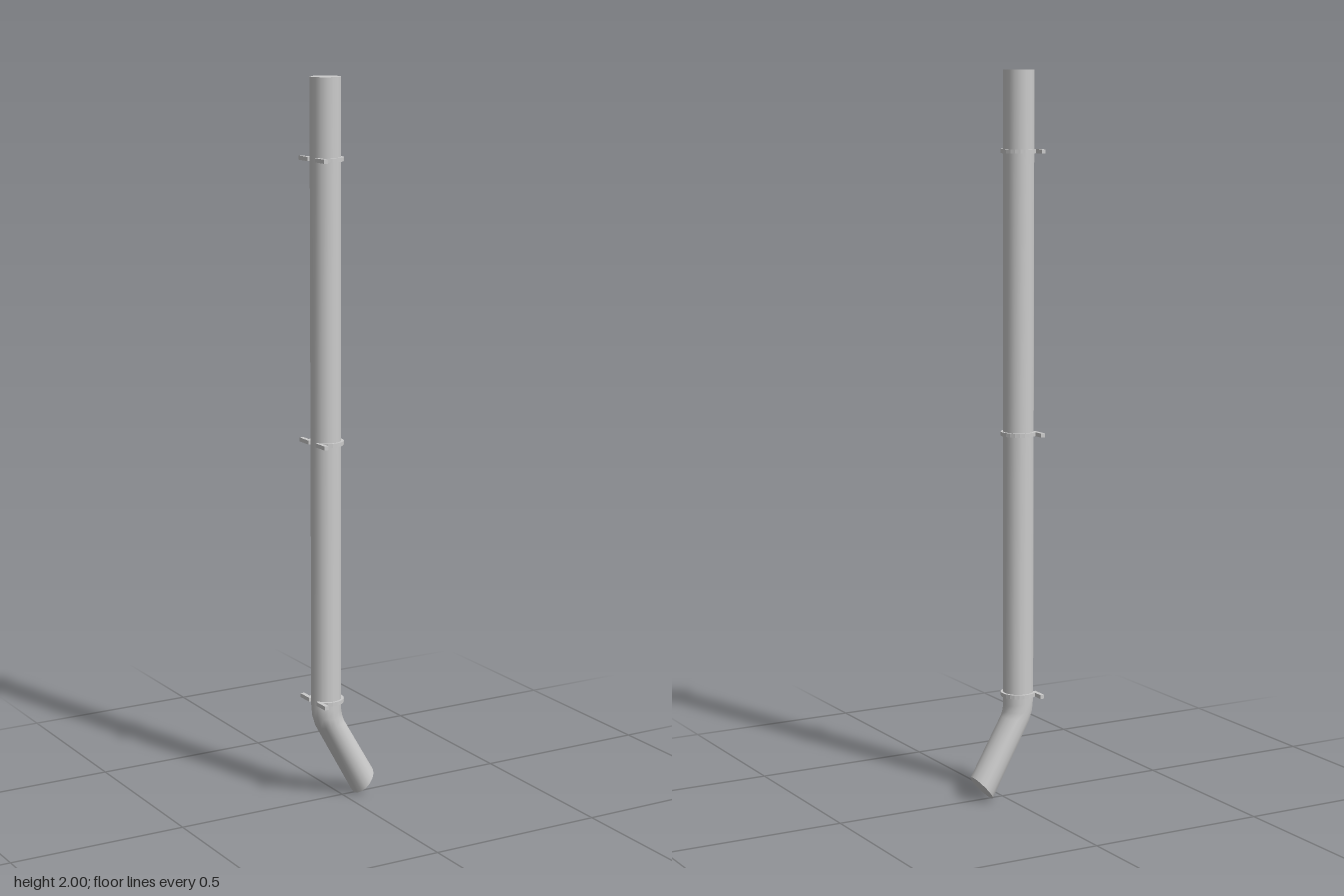
import * as THREE from 'three';

const SIDES = 16;
const RADIUS = 0.042;
const AXIS_X = -0.051;

// Pipe cross-sections from top to outlet: [leftX, leftY, rightX, rightY]
const SECTIONS = [
  [-0.093, 2, -0.009, 2],
  [-0.093, 0.275, -0.009, 0.258],
  [-0.09, 0.243, -0.006, 0.24],
  [-0.08, 0.212, -0.001, 0.226],
  [0.038, 0, 0.093, 0.066],
];

// Lofts elliptical rings through the sections and closes both ends
function pipeGeometry() {
  const pos = [], idx = [];
  const ring = ([lx, ly, rx, ry]) => {
    for (let i = 0; i < SIDES; i++) {
      const t = (i / SIDES) * Math.PI * 2, c = Math.cos(t);
      pos.push((lx + rx) / 2 + (c * (rx - lx)) / 2, (ly + ry) / 2 + (c * (ry - ly)) / 2, RADIUS * Math.sin(t));
    }
  };
  SECTIONS.forEach(ring);
  for (let s = 0; s < SECTIONS.length - 1; s++) {
    for (let i = 0; i < SIDES; i++) {
      const j = (i + 1) % SIDES, a = s * SIDES, b = a + SIDES;
      idx.push(a + i, a + j, b + j, a + i, b + j, b + i);
    }
  }
  // Flat end caps with their own vertices
  [SECTIONS[0], SECTIONS[SECTIONS.length - 1]].forEach((section, end) => {
    const start = pos.length / 3;
    ring(section);
    for (let i = 1; i < SIDES - 1; i++) {
      if (end === 0) idx.push(start, start + i + 1, start + i);
      else idx.push(start, start + i, start + i + 1);
    }
  });
  const g = new THREE.BufferGeometry();
  g.setAttribute('position', new THREE.Float32BufferAttribute(pos, 3));
  g.setIndex(idx);
  g.computeVertexNormals();
  return g;
}

// C-shaped clamp, open at the wall side, with two fixing tabs
function clampGeometry(height) {
  const pts = [];
  const arc = (r, from, to) => {
    for (let i = 0; i <= SIDES; i++) {
      const t = THREE.MathUtils.degToRad(from + ((to - from) * i) / SIDES);
      pts.push(new THREE.Vector2(AXIS_X + r * Math.cos(t), r * Math.sin(t)));
    }
  };
  const add = (x, z) => pts.push(new THREE.Vector2(x, z));
  add(-0.082, 0.068);
  add(-0.094, 0.068);
  add(-0.094, 0.02);
  arc(0.041, 152, -152);
  add(-0.094, -0.02);
  add(-0.094, -0.069);
  add(-0.082, -0.069);
  arc(0.049, -130, 130);
  const g = new THREE.ExtrudeGeometry(new THREE.Shape(pts), { depth: height, bevelEnabled: false });
  return g.rotateX(Math.PI / 2).translate(0, height / 2, 0);
}

export function createModel() {
  const group = new THREE.Group();
  group.name = 'downpipe';
  const material = new THREE.MeshStandardMaterial({ color: 0xcccccc });

  const pipe = new THREE.Mesh(pipeGeometry(), material);
  pipe.name = 'pipe';
  group.add(pipe);

  // Three wall clamps
  const clamp = clampGeometry(0.011);
  [1.784, 1.018, 0.288].forEach((y, i) => {
    const mesh = new THREE.Mesh(clamp, material);
    mesh.name = `wallClamp${i + 1}`;
    mesh.position.y = y;
    group.add(mesh);
  });
  return group;
}
